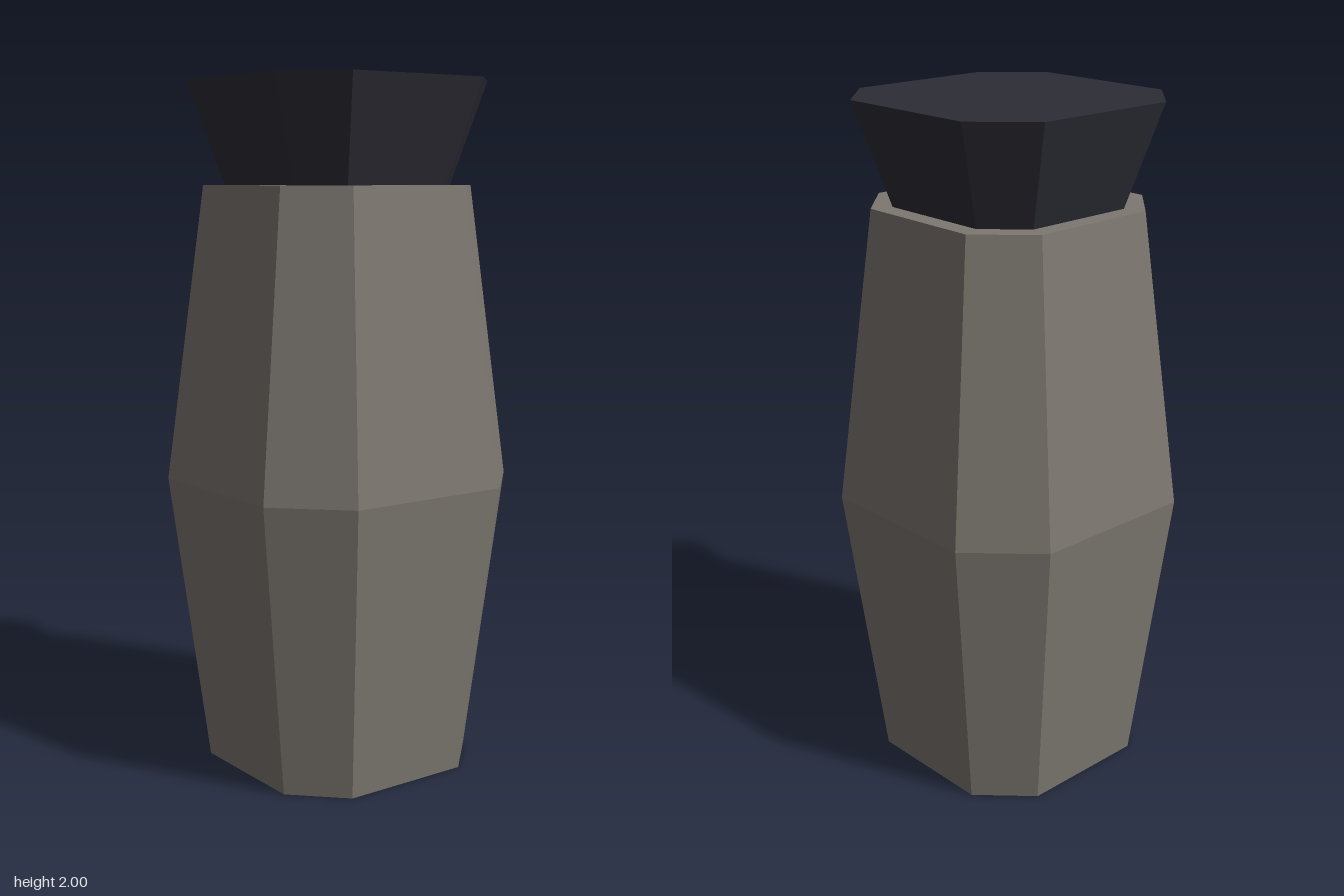
import * as THREE from 'three';

// Square outline with cut corners: half = half width, flat = half length of each straight side
function ring([y, half, flat]) {
  return [
    [half, -flat], [half, flat], [flat, half], [-flat, half],
    [-half, flat], [-half, -flat], [-flat, -half], [flat, -half],
  ].map(([x, z]) => [x, y, z]);
}

// Joins rings [y, half, flat] from bottom to top and caps both ends
function loft(sections) {
  const rings = sections.map(ring);
  const n = 8;
  const pos = [];
  const tri = (...points) => points.forEach((p) => pos.push(...p));
  const last = rings.length - 1;
  for (let i = 0; i < n; i++) {
    const j = (i + 1) % n;
    for (let k = 0; k < last; k++) {
      const a = rings[k], b = rings[k + 1];
      tri(a[i], b[i], b[j]);
      tri(a[i], b[j], a[j]);
    }
    tri([0, sections[0][0], 0], rings[0][i], rings[0][j]);
    tri([0, sections[last][0], 0], rings[last][j], rings[last][i]);
  }
  const geometry = new THREE.BufferGeometry();
  geometry.setAttribute('position', new THREE.Float32BufferAttribute(pos, 3));
  geometry.computeVertexNormals();
  return geometry;
}

function part(name, geometry, material) {
  const mesh = new THREE.Mesh(geometry, material);
  mesh.name = name;
  return mesh;
}

export function createModel() {
  const stone = new THREE.MeshStandardMaterial({ color: 0x7d7871, flatShading: true });
  stone.name = 'warm grey';
  const dark = new THREE.MeshStandardMaterial({ color: 0x2d2d36, flatShading: true });
  dark.name = 'dark slate';

  const model = new THREE.Group();
  model.name = 'stopperedJar';

  // Faceted body, widest at the middle, with a shallow recess in the base and the rim
  model.add(part('body', loft([
    [0.03, 0.275, 0.165],
    [0, 0.275, 0.165],
    [0, 0.335, 0.196],
    [0.853, 0.434, 0.252],
    [1.705, 0.335, 0.196],
    [1.705, 0.275, 0.165],
    [1.675, 0.275, 0.165],
  ]), stone));

  // Flared stopper
  model.add(part('stopper', loft([
    [1.675, 0.268, 0.166],
    [2, 0.37, 0.224],
  ]), dark));

  return model;
}
